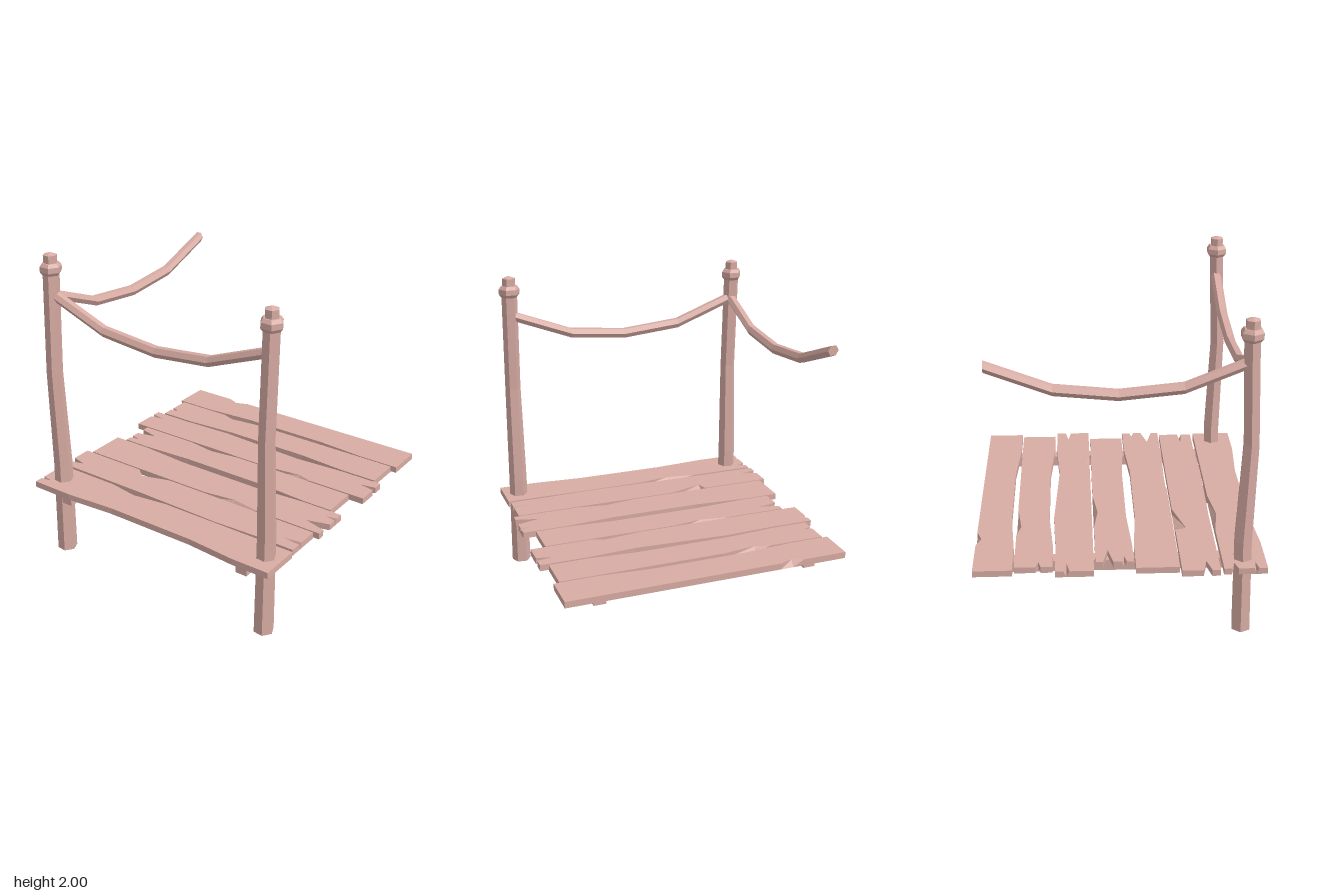
import * as THREE from 'three';

const wood = new THREE.MeshStandardMaterial({ color: 0xd8aca4, flatShading: true });

function add(parent, name, geometry) {
  const mesh = new THREE.Mesh(geometry, wood);
  mesh.name = name;
  parent.add(mesh);
  return mesh;
}

// Long edge: either bowed at two inner points or chipped along its top arris.
// Every outline point is [top x, top z, bottom x, bottom z].
function longEdge(z, inward, { bow, chip }) {
  if (bow) {
    return [[-0.62, 0], [-0.29, bow[0]], [0.3, bow[1]], [0.62, 0]]
      .map(([x, d]) => [x, z + inward * d, x, z + inward * d]);
  }
  if (chip) {
    const [a, tip, b, depth] = chip;
    return [[a, z, a, z], [tip, z + inward * depth, tip, z], [b, z, b, z]];
  }
  return [];
}

// Plank end: V splits [z, half width, depth, surfaceOnly], listed by rising z.
function endSplits(x, inward, splits = []) {
  return splits.flatMap(([z, w, depth, surfaceOnly]) =>
    [[x, z - w], [x + inward * depth, z], [x, z + w]]
      .map(([px, pz]) => (surfaceOnly ? [px, pz, x, z] : [px, pz, px, pz])));
}

function plankGeometry({ x: [x0, x1], z: [z0, z1], far = {}, near = {}, left, right }) {
  const corner = (x, z) => [x, z, x, z];
  const ring = [
    corner(x0, z0), ...longEdge(z0, 1, far),
    corner(x1, z0), ...endSplits(x1, -1, right),
    corner(x1, z1), ...longEdge(z1, -1, near).reverse(),
    corner(x0, z1), ...endSplits(x0, 1, left).reverse(),
  ];
  const top = ring.map((p) => [p[0], 0.5, p[1]]);
  const bottom = ring.map((p) => [p[2], 0.46, p[3]]);
  const faces = THREE.ShapeUtils.triangulateShape(
    ring.map((p) => new THREE.Vector2(p[0], -p[1])), []);
  const out = [];
  for (const [a, b, c] of faces) {
    out.push(top[a], top[b], top[c], bottom[c], bottom[b], bottom[a]);
  }
  ring.forEach((_, i) => {
    const j = (i + 1) % ring.length;
    out.push(top[i], top[j], bottom[j], top[i], bottom[j], bottom[i]);
  });
  const geometry = new THREE.BufferGeometry();
  geometry.setAttribute('position', new THREE.Float32BufferAttribute(out.flat(), 3));
  geometry.computeVertexNormals();
  return geometry;
}

// Six-sided bar whose rings are placed by a rule: place(ring index, x, z) -> [x, y, z]
function hexBar(rings, turn, place) {
  const geometry = new THREE.CylinderGeometry(1, 1, 1, 6, rings - 1, false, turn);
  const p = geometry.attributes.position;
  for (let i = 0; i < p.count; i++) {
    const ring = Math.round((p.getY(i) + 0.5) * (rings - 1));
    p.setXYZ(i, ...place(ring, p.getX(i), p.getZ(i)));
  }
  geometry.computeVertexNormals();
  return geometry;
}

// Sagging rail along local x; points are [along, height]
function railGeometry(points) {
  const r = 0.034;
  return hexBar(points.length, 0, (k, x, z) => [points[k][0], points[k][1] - x * r, z * r]);
}

const planks = [
  { x: [-0.87, 0.89], z: [-0.86, -0.63], far: { chip: [-0.59, -0.52, -0.44, 0.03] }, near: { bow: [0.025, 0.025] } },
  { x: [-0.84, 0.855], z: [-0.62, -0.395], far: { chip: [-0.48, -0.39, -0.17, 0.027] }, near: { bow: [0.025, 0.025] },
    left: [[-0.48, 0.015, 0.05]] },
  { x: [-0.89, 0.905], z: [-0.38, -0.155], far: { bow: [-0.012, 0.02] }, near: { chip: [0.2, 0.43, 0.52, 0.027] },
    left: [[-0.315, 0.018, 0.09, true]], right: [[-0.3, 0.018, 0.1]] },
  { x: [-0.8, 0.81], z: [-0.145, 0.08], far: { chip: [-0.41, -0.23, -0.02, 0.027] }, near: { bow: [0.02, 0.02] },
    left: [[-0.07, 0.03, 0.13], [0.025, 0.015, 0.06, true]] },
  { x: [-0.87, 0.89], z: [0.09, 0.345], far: { bow: [0.025, 0.025] }, near: { chip: [0.05, 0.27, 0.46, 0.03] },
    right: [[0.155, 0.013, 0.07, true], [0.26, 0.038, 0.14]] },
  { x: [-0.91, 0.855], z: [0.355, 0.58], far: { chip: [-0.46, -0.44, -0.21, 0.068] }, near: { bow: [0, -0.012] },
    left: [[0.505, 0.025, 0.1]], right: [[0.5, 0.014, 0.11, true]] },
  { x: [-0.9, 0.865], z: [0.6, 0.855], far: { chip: [-0.47, -0.28, -0.05, 0.03] }, near: { bow: [0.025, 0.025] },
    left: [[0.665, 0.02, 0.06], [0.79, 0.014, 0.07, true]] },
];

// Post sections: [height, z centre, radius]
const postSections = [[0, 0.735, 0.062], [0.62, 0.72, 0.058], [1.25, 0.735, 0.05], [1.88, 0.705, 0.05]];

export function createModel() {
  const model = new THREE.Group();
  model.name = 'dockSection';

  // Deck
  const deck = new THREE.Group();
  deck.name = 'deck';
  model.add(deck);
  planks.forEach((spec, i) => add(deck, `plank${i + 1}`, plankGeometry(spec)));

  // Bearers under the planks
  for (const [name, x] of [['rightBearer', -0.678], ['leftBearer', 0.658]]) {
    add(model, name, new THREE.BoxGeometry(0.076, 0.072, 1.58)).position.set(x, 0.424, 0.025);
  }

  // Posts with collar and cap
  for (const [name, x] of [['rightPost', -0.778], ['leftPost', 0.767]]) {
    const post = new THREE.Group();
    post.name = name;
    post.position.x = x;
    model.add(post);
    add(post, 'shaft', hexBar(postSections.length, Math.PI / 6 - 0.12, (k, px, pz) => {
      const [y, z, r] = postSections[k];
      return [px * r, y, z + pz * r];
    }));
    const profile = [[0, 1.865], [0.052, 1.865], [0.067, 1.885], [0.067, 1.918], [0.052, 1.938],
      [0.042, 1.938], [0.042, 1.985], [0, 2]].map(([r, y]) => new THREE.Vector2(r, y));
    add(post, 'cap', new THREE.LatheGeometry(profile, 6, Math.PI / 6)).position.z = 0.705;
  }

  // Sagging rails
  add(model, 'frontRail', railGeometry(
    [[-0.75, 1.735], [-0.38, 1.595], [0, 1.559], [0.37, 1.595], [0.74, 1.735]])).position.z = 0.705;
  const sideRail = add(model, 'sideRail', railGeometry(
    [[-0.68, 1.73], [-0.35, 1.595], [0.01, 1.559], [0.37, 1.595], [0.74, 1.738]]));
  sideRail.rotation.y = Math.PI / 2;
  sideRail.position.x = -0.775;

  return model;
}
